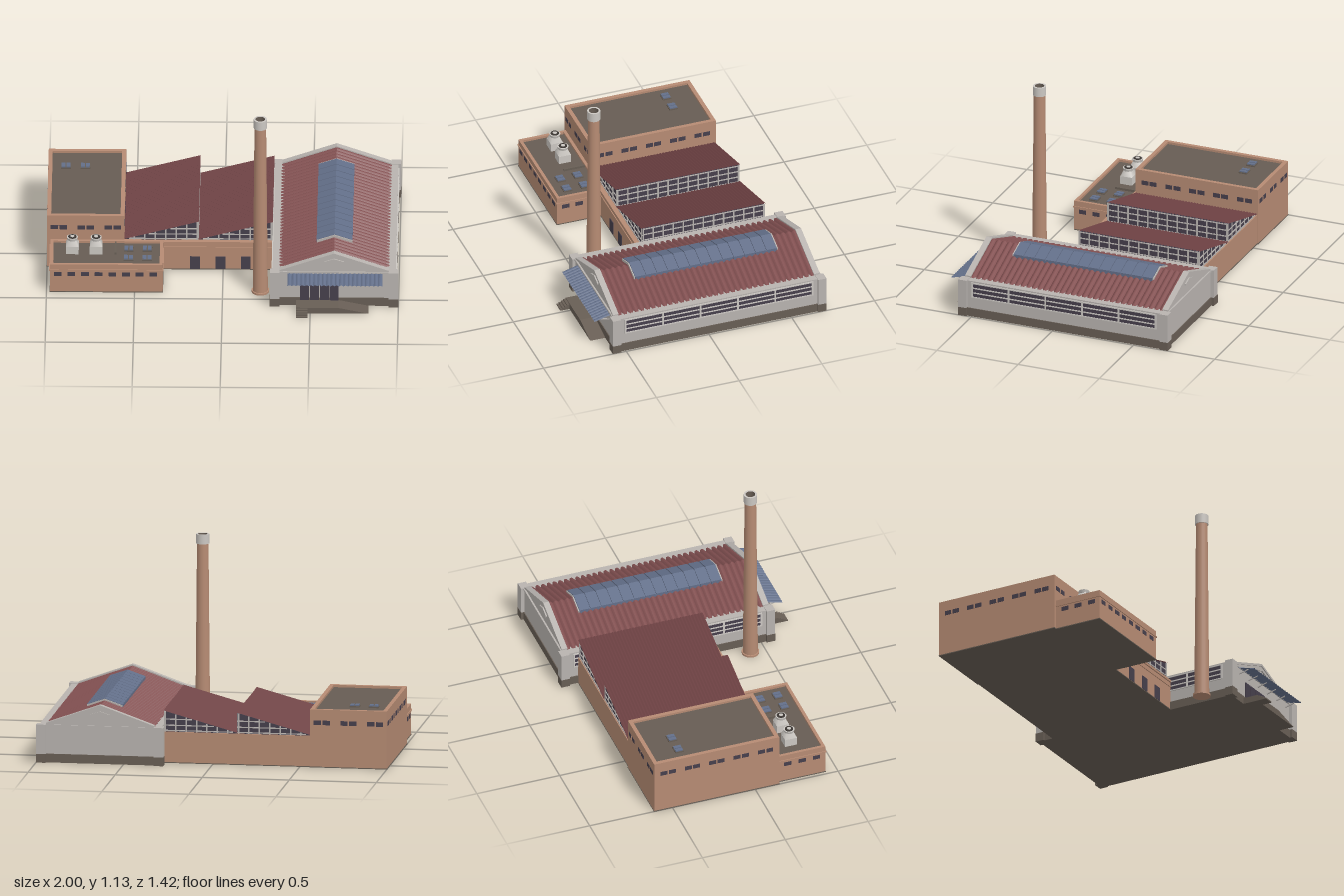
import * as THREE from 'three';

const mat = (name, color, side = THREE.FrontSide) => {
  const m = new THREE.MeshStandardMaterial({ color, side });
  m.name = name;
  return m;
};

export function createModel() {
  const root = new THREE.Group();
  root.name = 'factory';
  const brick = mat('brick', 0xb68b73);
  const stone = mat('pale stone', 0xb8b3af);
  const plinthMat = mat('dark plinth', 0x685e55);
  const flatRoof = mat('flat roof', 0x665c53);
  const redTile = mat('red roof', 0x825051, THREE.DoubleSide);
  const darkTile = mat('dark red roof', 0x6c4042, THREE.DoubleSide);
  const glass = mat('dark glass', 0x463f4c);
  const blue = mat('blue glazing', 0x636f89, THREE.DoubleSide);
  const metal = mat('light metal', 0xcbc7c2);
  const soot = mat('soot', 0x3a3532);

  let group = root;
  const section = (name) => {
    group = new THREE.Group();
    group.name = name;
    root.add(group);
  };
  const add = (name, geo, m) => {
    const mesh = new THREE.Mesh(geo, m);
    mesh.name = name;
    group.add(mesh);
    return mesh;
  };
  const box = (name, m, x0, x1, y0, y1, z0, z1) => {
    const b = add(name, new THREE.BoxGeometry(x1 - x0, y1 - y0, z1 - z0), m);
    b.position.set((x0 + x1) / 2, (y0 + y1) / 2, (z0 + z1) / 2);
    return b;
  };
  // Outline in x and y, extruded from z0 to z1
  const prism = (name, m, pts, z0, z1) => {
    const s = new THREE.Shape(pts.map(([x, y]) => new THREE.Vector2(x, y)));
    const g = new THREE.ExtrudeGeometry(s, { depth: z1 - z0, bevelEnabled: false });
    return add(name, g.translate(0, 0, z0), m);
  };
  // Sheet sloping from (x0,y0) to (x1,y1), x0 < x1, with n rounded rolls along z
  const rolls = (x0, y0, x1, y1, z0, z1, n, amp, seg) => {
    const pos = [], idx = [];
    for (let i = 0; i <= n * seg; i++) {
      const z = z0 + (z1 - z0) * i / (n * seg);
      const h = amp * Math.sin(Math.PI * (i % seg) / seg);
      pos.push(x0, y0 + h, z, x1, y1 + h, z);
      if (i) { const a = 2 * i - 2; idx.push(a, a + 2, a + 1, a + 1, a + 2, a + 3); }
    }
    const g = new THREE.BufferGeometry();
    g.setAttribute('position', new THREE.Float32BufferAttribute(pos, 3));
    g.setIndex(idx);
    const flat = g.toNonIndexed();
    flat.computeVertexNormals();
    return flat;
  };
  // Panel on a wall: axis is the wall normal, dir its sign
  const panel = (name, m, axis, dir, at, u0, u1, y0, y1, t = 0.004) => {
    const a = Math.min(at, at + dir * t), b = Math.max(at, at + dir * t);
    return axis === 'z' ? box(name, m, u0, u1, y0, y1, a, b) : box(name, m, a, b, y0, y1, u0, u1);
  };
  const windowRow = (axis, dir, at, u0, u1, n, w, y0, y1) => {
    for (let i = 0; i < n; i++) {
      const c = u0 + (u1 - u0) * (i + 0.5) / n;
      panel('window', glass, axis, dir, at, c - w / 2, c + w / 2, y0, y1, 0.0015);
    }
  };
  // Wide windows, each split in two by a brick mullion
  const pairRow = (axis, dir, at, u0, u1, n) => {
    windowRow(axis, dir, at, u0, u1, n, 0.092, 0.246, 0.272);
    for (let i = 0; i < n; i++) {
      const c = u0 + (u1 - u0) * (i + 0.5) / n;
      panel('windowMullion', brick, axis, dir, at, c - 0.004, c + 0.004, 0.246, 0.272, 0.0025);
    }
  };
  // Flat-roofed brick block with a raised rim of width t
  const block = (x0, x1, z0, z1, h, t) => {
    box('floor', plinthMat, x0 - 0.002, x1 + 0.002, 0, 0.005, z0 - 0.002, z1 + 0.002);
    box('walls', brick, x0, x1, 0.005, h - 0.02, z0, z1);
    box('flatRoof', flatRoof, x0 + t, x1 - t, h - 0.02, h - 0.013, z0 + t, z1 - t);
    for (const [a, b, c, d] of [[x0, x1, z0, z0 + t], [x0, x1, z1 - t, z1], [x0, x0 + t, z0 + t, z1 - t], [x1 - t, x1, z0 + t, z1 - t]])
      box('parapet', brick, a, b, h - 0.02, h, c, d);
  };
  const roofLight = (x, z, y) => {
    box('roofLightFrame', plinthMat, x - 0.028, x + 0.028, y, y + 0.008, z - 0.025, z + 0.025);
    for (const s of [-1, 1]) box('roofLightPane', blue, x + s * 0.014 - 0.011, x + s * 0.014 + 0.011, y + 0.008, y + 0.014, z - 0.022, z + 0.022);
  };

  // Tall block at the back left
  section('tallBlock');
  block(-1, -0.56, -0.61, 0.145, 0.335, 0.023);
  pairRow('z', 1, 0.145, -1.01, -0.55, 3);
  pairRow('z', -1, -0.61, -1.01, -0.55, 3);
  pairRow('x', -1, -1, -0.6, 0.135, 5);
  pairRow('x', 1, -0.56, -0.6, 0.135, 5);
  roofLight(-0.9, -0.43, 0.322);
  roofLight(-0.79, -0.43, 0.322);

  // Low annex at the front left
  section('annex');
  block(-0.98, -0.34, 0.145, 0.43, 0.18, 0.018);
  box('band', brick, -0.985, -0.335, 0.14, 0.148, 0.145, 0.435);
  windowRow('z', 1, 0.43, -0.975, -0.355, 8, 0.044, 0.105, 0.13);
  windowRow('x', 1, -0.34, 0.17, 0.42, 3, 0.044, 0.105, 0.13);
  windowRow('x', -1, -0.98, 0.16, 0.42, 3, 0.044, 0.105, 0.13);
  for (const x of [-0.535, -0.43]) for (const z of [0.235, 0.34]) roofLight(x, z, 0.167);
  box('roofPipe', plinthMat, -0.615, -0.605, 0.167, 0.18, 0.165, 0.29);
  for (const x of [-0.855, -0.72]) {
    box('ventBase', metal, x - 0.036, x + 0.036, 0.167, 0.215, 0.22, 0.292);
    const hood = add('ventHood', new THREE.CylinderGeometry(0.03, 0.05, 0.032, 4).rotateY(Math.PI / 4), metal);
    hood.position.set(x, 0.231, 0.256);
    add('ventCap', new THREE.CylinderGeometry(0.032, 0.028, 0.016, 16), metal).position.set(x, 0.253, 0.256);
    add('ventFan', new THREE.CylinderGeometry(0.024, 0.024, 0.004, 16), soot).position.set(x, 0.262, 0.256);
    add('ventHub', new THREE.CylinderGeometry(0.012, 0.012, 0.004, 10), metal).position.set(x, 0.265, 0.256);
  }

  // Workshop with sawtooth roof
  section('workshop');
  box('floor', plinthMat, -0.56, 0.285, 0, 0.005, -0.607, 0.167);
  box('walls', brick, -0.56, 0.285, 0.005, 0.18, -0.605, 0.165);
  box('band', brick, -0.335, 0.285, 0.14, 0.148, 0.16, 0.17);
  box('coping', brick, -0.335, 0.285, 0.17, 0.183, 0.15, 0.172);
  for (const x of [-0.16, -0.015, 0.128]) panel('door', glass, 'z', 1, 0.165, x - 0.028, x + 0.028, 0.005, 0.085);
  for (const x0 of [-0.56, -0.14]) {
    const x1 = x0 + 0.418, yl = 0.183, yh = 0.298, k = (yh - yl) / (x1 - x0);
    prism('sawtoothGlazing', glass, [[x0, 0.178], [x1, 0.178], [x1, yh], [x0, yl]], -0.597, 0.14);
    add('sawtoothRoof', rolls(x0, yl + 0.003, x1 + 0.004, yh + 0.004, -0.605, 0.147, 42, 0.005, 2), darkTile);
    for (const [dir, at] of [[1, 0.14], [-1, -0.597]]) {
      for (let i = 1; i <= 7; i++) {
        const x = x0 + (x1 - x0) * i / 7 - 0.005;
        panel('glazingBar', stone, 'z', dir, at, x - 0.004, x + 0.004, 0.18, yl + (x - x0) * k);
      }
      for (const y of [0.187, 0.217, 0.252]) panel('glazingRail', stone, 'z', dir, at, x0 + Math.max(0, (y + 0.003 - yl) / k), x1, y - 0.003, y + 0.003);
    }
    for (let i = 0; i <= 12; i++) {
      const z = -0.593 + 0.729 * i / 12;
      panel('glazingBar', stone, 'x', 1, x1, z - 0.004, z + 0.004, 0.18, yh);
    }
    for (const y of [0.187, 0.22, 0.257, 0.294]) panel('glazingRail', stone, 'x', 1, x1, -0.597, 0.14, y - 0.003, y + 0.003);
  }

  // Main hall
  section('hall');
  const cx = 0.635;
  box('walls', stone, 0.285, 0.985, 0.05, 0.217, -0.69, 0.56);
  box('plinth', plinthMat, 0.28, 0.99, 0, 0.05, -0.695, 0.565);
  for (const [x0, x1] of [[0.27, 0.325], [0.945, 1]]) for (const [z0, z1] of [[-0.71, -0.66], [0.53, 0.58]]) {
    box('pillar', stone, x0, x1, 0.05, 0.22, z0, z1);
    box('pillarBase', plinthMat, x0 - 0.001, x1, 0, 0.05, z0 - 0.001, z1 + 0.001);
  }
  const chevron = (hw, y0, y1, t) => [[cx - hw, y0], [cx - hw, y0 - t], [cx, y1 - t], [cx + hw, y0 - t], [cx + hw, y0], [cx, y1]];
  for (const [z0, z1, face, dir] of [[0.53, 0.555, 0.555, 1], [-0.685, -0.66, -0.685, -1]]) {
    prism('gable', stone, [[0.325, 0.21], [0.945, 0.21], [0.945, 0.22], [cx, 0.332], [0.325, 0.22]], z0, z1);
    prism('gableCoping', stone, chevron(0.31, 0.227, 0.338, 0.014), z0 - 0.004, z1 + 0.006);
    prism('gableOrnament', stone, chevron(0.055, 0.284, 0.302, 0.009), face - 0.008, face + 0.008);
    panel('cornice', stone, 'z', dir, dir > 0 ? 0.56 : -0.69, 0.325, 0.945, 0.208, 0.219, 0.006);
  }
  add('rolledRoofRight', rolls(cx - 0.312, 0.208, cx, 0.321, -0.665, 0.535, 35, 0.012, 6), redTile);
  add('rolledRoofLeft', rolls(cx, 0.321, cx + 0.312, 0.208, -0.665, 0.535, 35, 0.012, 6), redTile);

  // Ridge skylight
  const ridge = (hw, y0, y1) => [[cx - hw, y0 - 0.03], [cx + hw, y0 - 0.03], [cx + hw, y0], [cx, y1], [cx - hw, y0]];
  prism('skylightBase', blue, ridge(0.1, 0.302, 0.336), -0.508, 0.352);
  for (const z of [-0.513, 0.351]) prism('skylightEnd', stone, ridge(0.101, 0.306, 0.341), z, z + 0.006);
  for (let i = 0; i < 13; i++) {
    const z = -0.508 + i * 0.0662;
    prism('skylightPane', blue, ridge(0.102, 0.308, 0.343), z + 0.003, z + 0.0635);
  }

  // Long side windows
  for (const [at, dir] of [[0.985, 1], [0.285, -1]]) {
    panel('sideWindow', glass, 'x', dir, at, -0.63, 0.5, 0.12, 0.205, 0.003);
    for (let i = 0; i <= 5; i++) {
      const z = -0.63 + 0.226 * i;
      panel('windowPost', metal, 'x', dir, at, z - 0.005, z + 0.005, 0.12, 0.205, 0.007);
    }
    for (const y of [0.12, 0.147, 0.176, 0.205]) panel('windowRail', metal, 'x', dir, at, -0.635, 0.505, y - 0.0035, y + 0.0035, 0.006);
  }

  // Entrance: doors, awning, platform with ramp and steps
  section('entrance');
  for (const x of [0.467, 0.524, 0.581, 0.635]) panel('door', glass, 'z', 1, 0.56, x - 0.025, x + 0.025, 0.036, 0.142, 0.008);
  add('awning', rolls(0.56, 0.207, 0.66, 0.18, -0.91, -0.37, 22, 0.006, 4).rotateY(-Math.PI / 2), blue);
  for (let i = 0; i < 6; i++) {
    const strut = add('awningStrut', new THREE.BoxGeometry(0.005, 0.005, 0.06), stone);
    strut.position.set(0.38 + i * 0.104, 0.18, 0.59);
    strut.rotation.x = -0.25;
  }
  prism('platformAndRamp', plinthMat, [[0.42, 0], [0.83, 0], [0.66, 0.036], [0.42, 0.036]], 0.56, 0.655);
  for (let i = 0; i < 4; i++) box('step', plinthMat, 0.42, 0.485, 0, 0.03 - i * 0.0075, 0.65, 0.67 + i * 0.0135);

  // Chimney
  section('chimney');
  const lathe = (name, pts, m) => add(name, new THREE.LatheGeometry(pts.map(([r, y]) => new THREE.Vector2(r, y)), 20), m).position.set(0.214, 0, 0.41);
  add('base', new THREE.CylinderGeometry(0.05, 0.05, 0.012, 20), brick).position.set(0.214, 0.006, 0.41);
  lathe('shaft', [[0.043, 0.01], [0.033, 1.08]], brick);
  lathe('cap', [[0.03, 1.075], [0.038, 1.075], [0.038, 1.075], [0.038, 1.13]], metal);
  lathe('capRim', [[0.038, 1.13], [0.027, 1.13]], metal);
  lathe('flue', [[0.027, 1.13], [0.027, 1.06]], plinthMat);
  lathe('flueBottom', [[0.027, 1.06], [0, 1.06]], plinthMat);

  return root;
}
